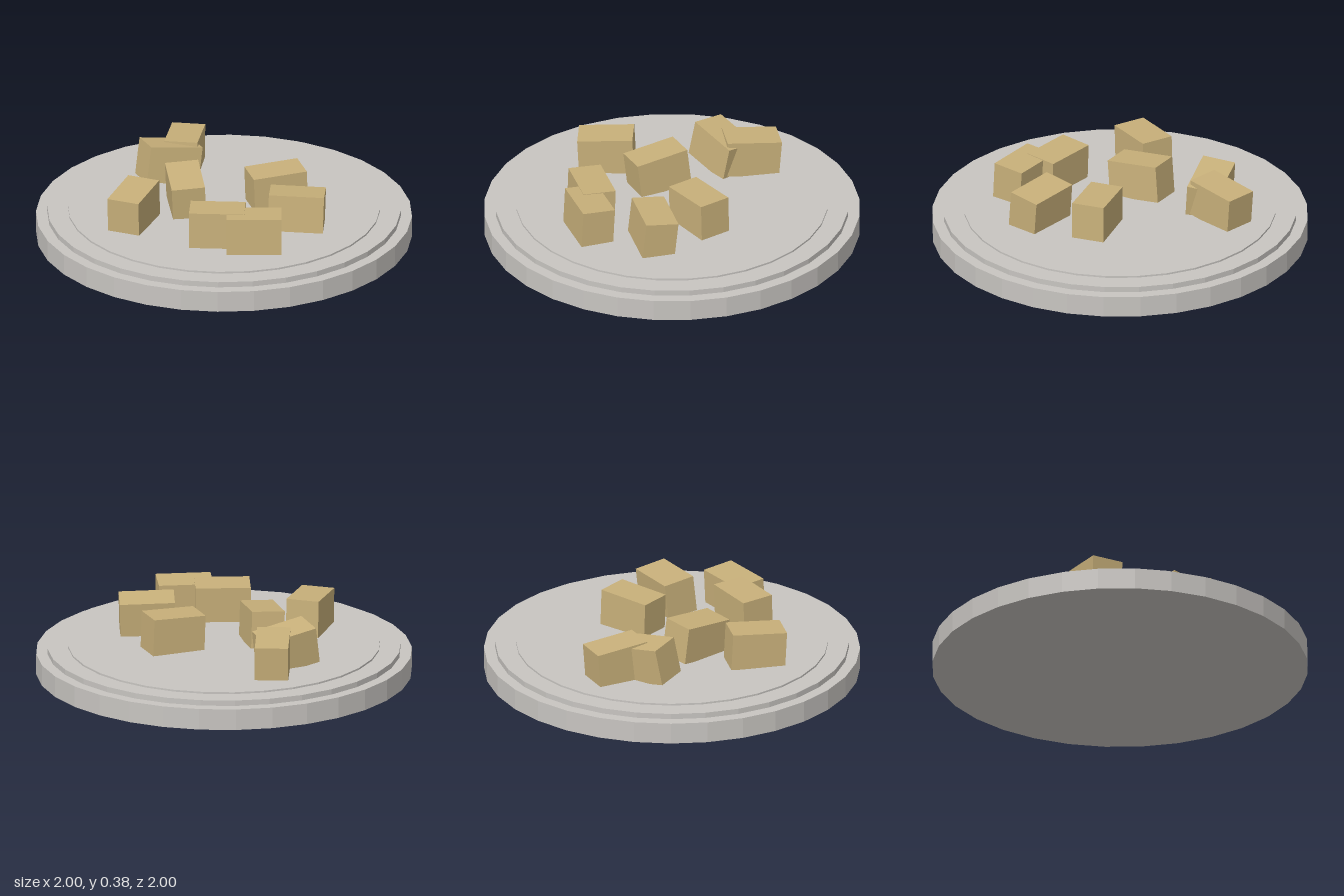
import * as THREE from 'three';

const stone = new THREE.MeshStandardMaterial({ name: 'pale grey', color: 0xc8c5c1, flatShading: true });
const wood = new THREE.MeshStandardMaterial({ name: 'tan', color: 0xc8b07a, flatShading: true });

// Blocks: top centre x and z, turn about y, lean of the top in x and z
const BLOCKS = [
  [-0.45, -0.27, 0.236, -0.05, 0.01],
  [-0.14, -0.155, 0.746, -0.11, 0.03],
  [0.205, 0.19, -0.655, -0.03, -0.02],
  [0.043, 0.45, -1.008, 0.10, -0.03],
  [-0.375, 0.227, -1.0, 0.03, -0.02],
  [-0.325, 0.43, -0.938, 0.04, -0.03],
  [0.30, -0.473, 0.48, 0.07, -0.04],
  [0.156, -0.459, -0.594, 0.19, 0.007],
];

export function createModel() {
  const model = new THREE.Group();
  model.name = 'plateWithBlocks';

  // Stepped round plate, one lathe profile with sharp steps
  const profile = [
    [0, 0], [1, 0], [1, 0.115], [0.94, 0.115], [0.94, 0.145],
    [0.83, 0.145], [0.83, 0.155], [0, 0.155],
  ].map(([r, y]) => new THREE.Vector2(r, y));
  const plate = new THREE.Mesh(new THREE.LatheGeometry(profile, 32).toNonIndexed(), stone);
  plate.geometry.computeVertexNormals();
  plate.name = 'plate';
  model.add(plate);

  // Loose blocks, each slightly tipped
  const blockGeometry = new THREE.BoxGeometry(0.294, 0.2, 0.178);
  const up = new THREE.Vector3(0, 1, 0);
  BLOCKS.forEach(([x, z, turn, leanX, leanZ], i) => {
    const block = new THREE.Mesh(blockGeometry, wood);
    block.name = `block${i + 1}`;
    const axis = new THREE.Vector3(leanX, 1, leanZ).normalize();
    block.quaternion.setFromUnitVectors(up, axis)
      .multiply(new THREE.Quaternion().setFromAxisAngle(up, turn));
    block.position.set(x, 0.35, z).addScaledVector(axis, -0.1);
    model.add(block);
  });
  return model;
}
